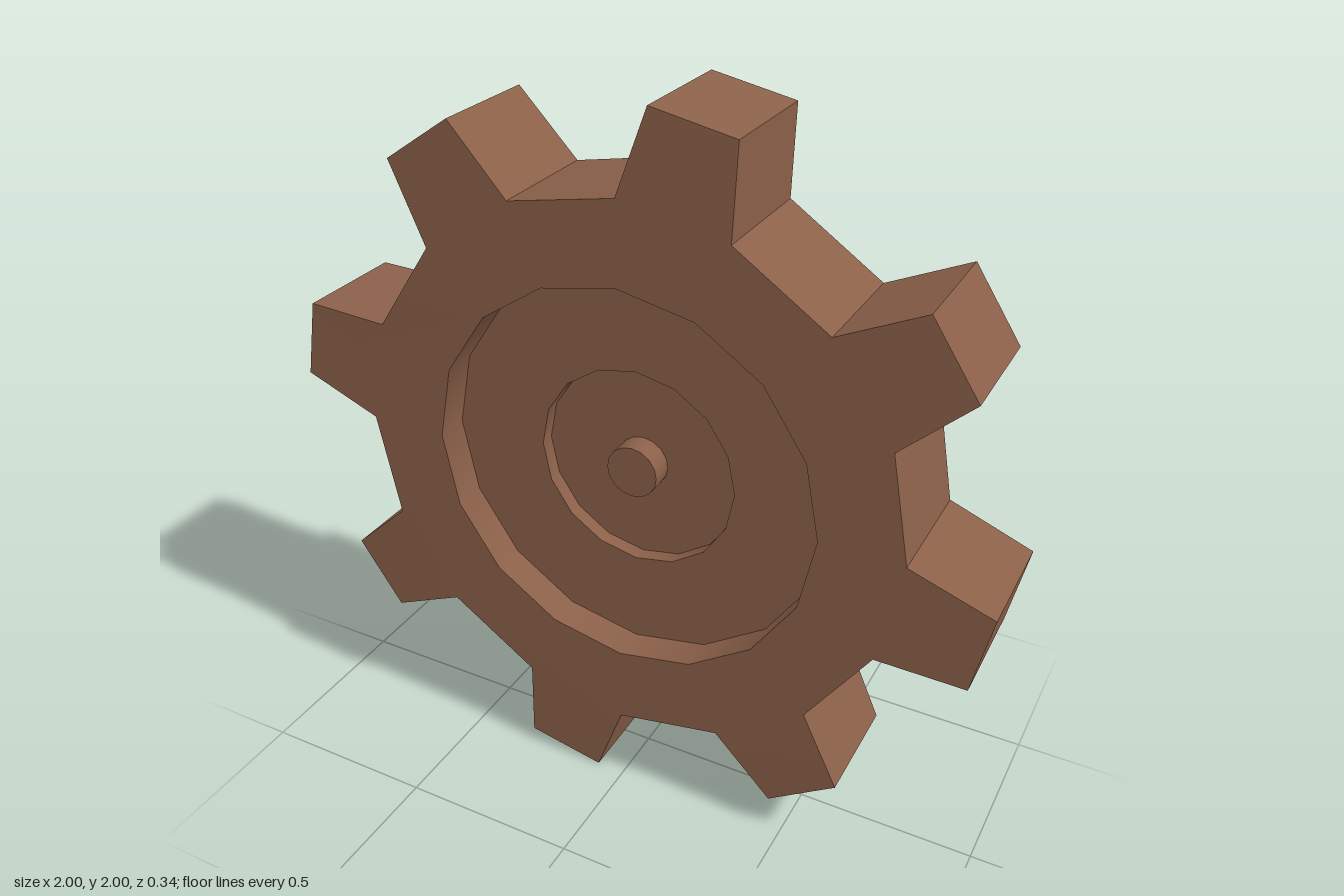
import * as THREE from 'three';
import { toCreasedNormals } from 'three/addons/utils/BufferGeometryUtils.js';

const TEETH = 8;
const SIDES = 16;
const RECESS_RADIUS = 0.55;

// Toothed rim: one tooth outline repeated round the wheel, with a 16-sided opening.
function rimGeometry() {
  const tooth = [[0, 0.775], [0.082, 1], [0.305, 0.957], [0.297, 0.717]];
  const centre = new THREE.Vector2();
  const outline = [];
  for (let i = 0; i < TEETH; i++) {
    for (const [x, y] of tooth) {
      outline.push(new THREE.Vector2(x, y).rotateAround(centre, -i * Math.PI * 2 / TEETH));
    }
  }
  const opening = [];
  for (let i = 0; i < SIDES; i++) {
    opening.push(new THREE.Vector2(0, RECESS_RADIUS).rotateAround(centre, i * Math.PI * 2 / SIDES));
  }
  const shape = new THREE.Shape(outline);
  shape.holes.push(new THREE.Path(opening));
  const geometry = new THREE.ExtrudeGeometry(shape, { depth: 1, bevelEnabled: false });

  // The wheel thins slightly towards the tooth tips.
  const p = geometry.attributes.position;
  for (let i = 0; i < p.count; i++) {
    const half = Math.hypot(p.getX(i), p.getY(i)) > 0.9 ? 0.162 : 0.168;
    p.setZ(i, p.getZ(i) > 0.5 ? half : -half);
  }
  return toCreasedNormals(geometry, 0.5);
}

// Turned surface facing +z, profile given as [radius, z] from the outside in.
function turned(profile) {
  const points = profile.map(([r, z]) => new THREE.Vector2(r, z));
  const geometry = new THREE.LatheGeometry(points, SIDES).rotateX(Math.PI / 2);
  return toCreasedNormals(geometry, 0.5);
}

export function createModel() {
  const brown = new THREE.MeshStandardMaterial({ color: 0x8b6049 });
  brown.name = 'brown';
  const model = new THREE.Group();
  model.name = 'gear';

  const add = (parent, name, geometry) => {
    const mesh = new THREE.Mesh(geometry, brown);
    mesh.name = name;
    parent.add(mesh);
  };

  add(model, 'toothedRim', rimGeometry());

  // The same stepped recess and axle stub on both faces.
  const web = turned([[RECESS_RADIUS, 0.072], [0.285, 0.072]]);
  const hubRecess = turned([[0.285, 0.072], [0.285, 0.03], [0.073, 0.03]]);
  const axle = turned([[0.073, 0.03], [0.073, 0.095], [0, 0.095]]);
  for (const side of ['front', 'back']) {
    const face = new THREE.Group();
    face.name = side + 'Face';
    add(face, side + 'Web', web);
    add(face, side + 'HubRecess', hubRecess);
    add(face, side + 'Axle', axle);
    if (side === 'back') face.rotation.y = Math.PI;
    model.add(face);
  }

  model.position.y = 1;
  const root = new THREE.Group();
  root.name = 'gearWheel';
  root.add(model);
  return root;
}
